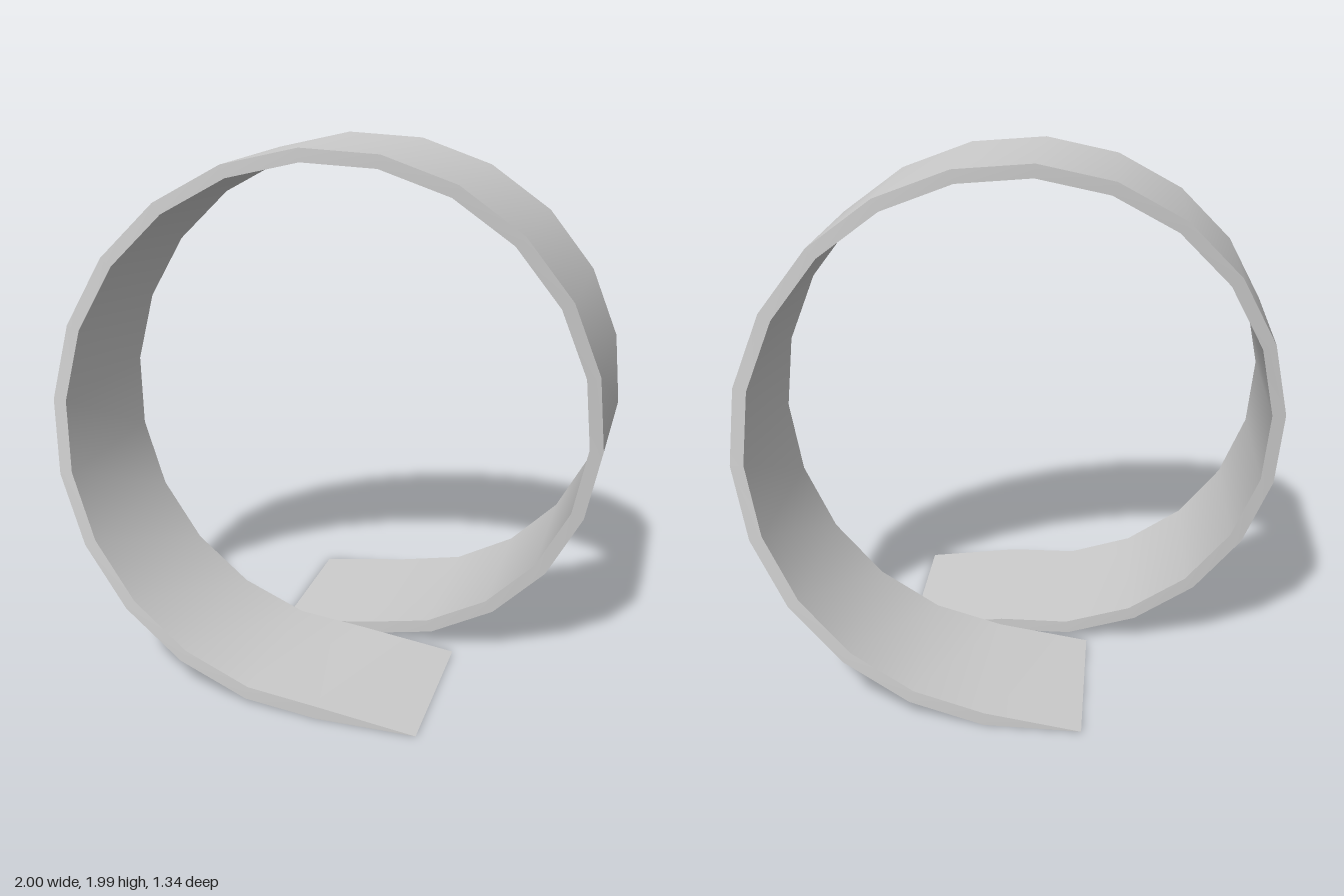
import * as THREE from 'three';

const SEGMENTS = 22, PHASE = 0.08;
const OUTER = 1, INNER = 0.95, WIDTH = 0.635;

// Smooth surface between two edge lines running along the band
function strip(name, p, q, material) {
  const positions = [], index = [];
  p.forEach((a, i) => {
    positions.push(...a, ...q[i]);
    if (i < p.length - 1) {
      const n = i * 2;
      index.push(n, n + 1, n + 2, n + 1, n + 3, n + 2);
    }
  });
  const geometry = new THREE.BufferGeometry();
  geometry.setAttribute('position', new THREE.Float32BufferAttribute(positions, 3));
  geometry.setIndex(index);
  geometry.computeVertexNormals();
  const mesh = new THREE.Mesh(geometry, material);
  mesh.name = name;
  return mesh;
}

export function createModel() {
  const grey = new THREE.MeshStandardMaterial({ color: 0xcccccc });
  grey.name = 'grey';

  const outerFront = [], outerBack = [], innerFront = [], innerBack = [];
  const section = (outer, inner, z) => {
    outerFront.push([...outer, z]);
    outerBack.push([...outer, z - WIDTH]);
    innerFront.push([...inner, z]);
    innerBack.push([...inner, z - WIDTH]);
  };

  // One turn of a helix, drawn out to a flat sharp tip at each end
  section([-0.28, 0.003], [-0.28, 0.003], -0.035);
  for (let k = -11; k <= 11; k++) {
    const t = PHASE + k * 2 * Math.PI / SEGMENTS;
    const ring = r => [-r * Math.sin(t), 1 + r * Math.cos(t)];
    section(ring(OUTER), ring(INNER), 0.31 + 0.34 * t / Math.PI);
  }
  section([0.45, 0.003], [0.45, 0.003], 0.668);

  const band = new THREE.Group();
  band.name = 'loopBand';
  band.add(
    strip('outerSurface', outerFront, outerBack, grey),
    strip('innerSurface', innerBack, innerFront, grey),
    strip('frontRim', innerFront, outerFront, grey),
    strip('backRim', outerBack, innerBack, grey)
  );

  const model = new THREE.Group();
  model.name = 'loop';
  model.add(band);
  return model;
}
